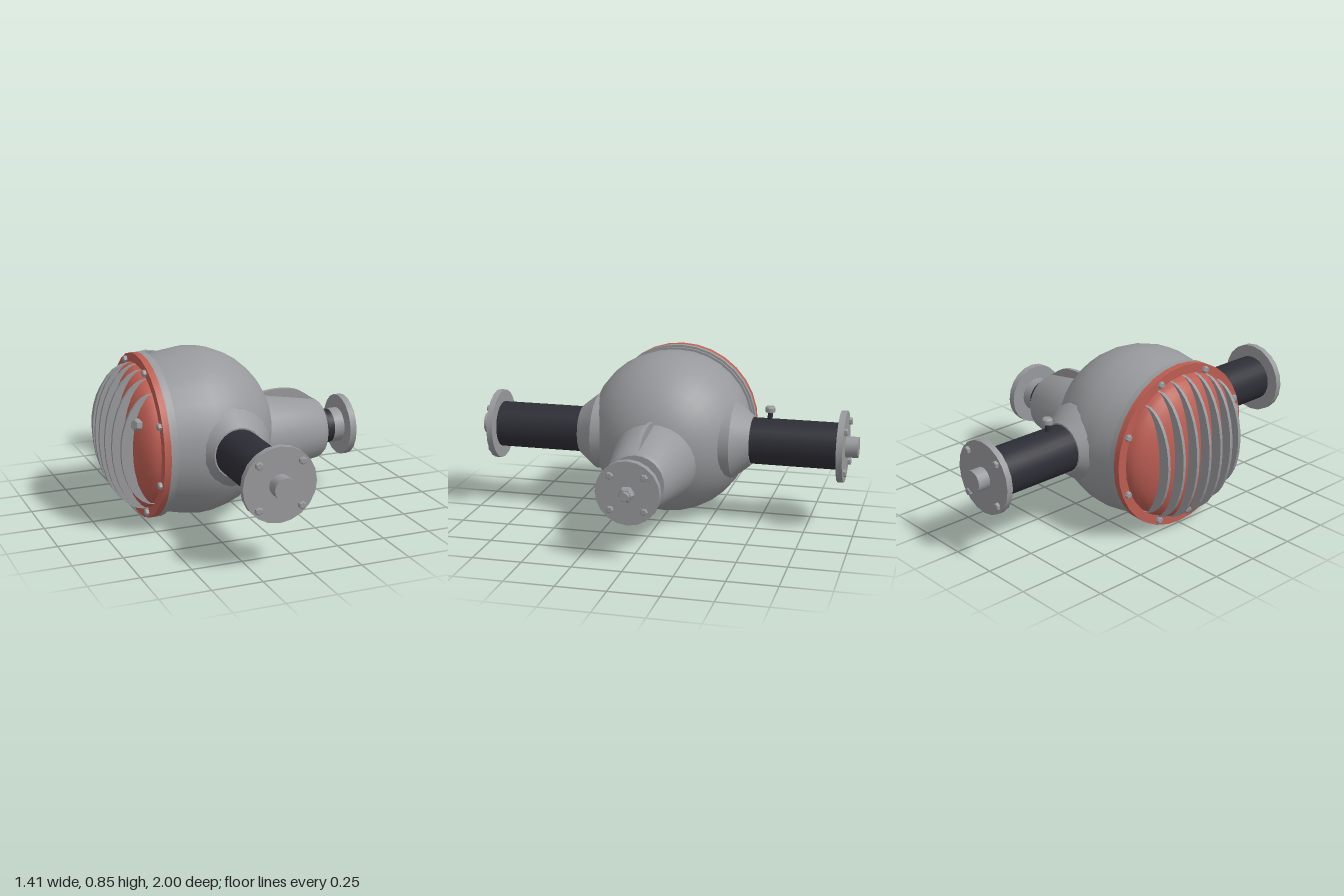
import * as THREE from 'three';
import { toCreasedNormals } from 'three/addons/utils/BufferGeometryUtils.js';

const CY = 0.432;      // height of the axle and cover axis
const NY = 0.358;      // height of the pinion axis
const AX = -0.142;     // x of the axle tubes

const grey = new THREE.MeshStandardMaterial({ color: 0x98999c });
grey.name = 'castMetal';
const red = new THREE.MeshStandardMaterial({ color: 0xbc5d52 });
red.name = 'redCover';
const dark = new THREE.MeshStandardMaterial({ color: 0x2d2d36 });
dark.name = 'darkSteel';

const UP = new THREE.Vector3(0, 1, 0);

function add(parent, name, geometry, material) {
  const mesh = new THREE.Mesh(geometry, material);
  mesh.name = name;
  parent.add(mesh);
  return mesh;
}

// Turned part: profile of [distance along axis, radius]
function turned(parent, name, profile, material, dir, segments = 24) {
  const points = profile.map(([d, r]) => new THREE.Vector2(r, d));
  const geometry = toCreasedNormals(new THREE.LatheGeometry(points, segments), 0.55);
  const mesh = add(parent, name, geometry, material);
  mesh.quaternion.setFromUnitVectors(UP, dir);
  return mesh;
}

// Hexagonal head standing on a surface at pos, pointing along dir
function hexBolt(parent, name, pos, dir, radius, height) {
  const d = dir.clone().normalize();
  const profile = [[-0.01, 0], [-0.01, radius], [height * 0.8, radius], [height, radius * 0.75], [height, 0]];
  turned(parent, name, profile, grey, d, 6).position.copy(pos);
}

const disc = (a, b, r) => [[a, 0], [a, r], [b, r], [b, 0]];

function buildHousing(root) {
  const X = new THREE.Vector3(1, 0, 0);
  const g = new THREE.Group();
  g.name = 'housing';
  g.position.y = CY;
  root.add(g);

  // Round carrier body
  const body = [[-0.44, 0], [-0.44, 0.39], [-0.34, 0.413]];
  for (let i = 0; i <= 10; i++) {
    const a = (i / 10) * Math.PI / 2;
    body.push([-0.235 + 0.427 * Math.sin(a), 0.427 * Math.cos(a)]);
  }
  turned(g, 'carrierBody', body, grey, X, 32);

  // Mating flange and gasket lip
  turned(g, 'bodyFlange', disc(-0.472, -0.442, 0.416), grey, X, 32);
  turned(g, 'bodyFlangeLip', disc(-0.445, -0.43, 0.405), grey, X, 32);

  // Red cover with domed centre
  turned(g, 'coverFlange', disc(-0.505, -0.471, 0.416), red, X, 32);
  const dome = [];
  for (let i = 0; i <= 10; i++) {
    const a = (i / 10) * Math.PI / 2;
    dome.push([-0.5 - 0.148 * Math.cos(a), 0.37 * Math.sin(a)]);
  }
  turned(g, 'coverDome', dome, red, X, 32);

  // Crescent cooling fins
  for (let i = -3; i <= 3; i++) {
    const z = i * 0.08;
    const h = Math.sqrt(0.37 ** 2 - z * z);
    const rise = 0.148 * h / 0.37;
    const arc = (depth, k) => {
      const a = -1 + k / 8;
      return new THREE.Vector2(-0.5 - depth * Math.cos(a * Math.PI / 2), h * Math.sin(a * Math.PI / 2));
    };
    const outline = [];
    for (let k = 0; k <= 16; k++) outline.push(arc(rise + 0.056, k));
    for (let k = 15; k > 0; k--) outline.push(arc(rise - 0.012, k));
    const fin = new THREE.ExtrudeGeometry(new THREE.Shape(outline), { depth: 0.016, bevelEnabled: false });
    add(g, 'coolingFin', fin, grey).position.z = z - 0.008;
  }

  // Cover bolts
  for (let i = 0; i < 8; i++) {
    const a = (i + 0.5) * Math.PI / 4;
    const pos = new THREE.Vector3(-0.505, 0.388 * Math.sin(a), 0.388 * Math.cos(a));
    hexBolt(g, 'coverBolt', pos, new THREE.Vector3(-1, 0, 0), 0.018, 0.018);
  }

  // Fill and drain plugs
  hexBolt(g, 'fillPlug', new THREE.Vector3(-0.58, 0.14, 0.262), new THREE.Vector3(-1, 0.25, 0.5), 0.03, 0.035);
  hexBolt(g, 'drainPlug', new THREE.Vector3(-0.56, -0.315, 0), new THREE.Vector3(-1, -0.8, 0), 0.026, 0.03);
}

function buildPinion(root) {
  const X = new THREE.Vector3(1, 0, 0);
  const g = new THREE.Group();
  g.name = 'pinionNose';
  g.position.y = NY;
  root.add(g);

  turned(g, 'noseCasting',
    [[0, 0], [0, 0.225], [0.08, 0.218], [0.155, 0.213], [0.47, 0.157], [0.49, 0.142], [0.49, 0]], grey, X, 28);
  turned(g, 'oilSeal', disc(0.485, 0.517, 0.105), dark, X, 16);
  turned(g, 'sealSleeve', disc(0.51, 0.557, 0.089), dark, X, 20);
  turned(g, 'yokeHub', disc(0.555, 0.615, 0.09), grey, X, 20);
  turned(g, 'yokeFlange', disc(0.61, 0.645, 0.159), grey, X, 20);
  for (const sy of [-1, 1]) for (const sz of [-1, 1]) {
    hexBolt(g, 'yokeBolt', new THREE.Vector3(0.645, sy * 0.084, sz * 0.084), X, 0.018, 0.016);
  }
  hexBolt(g, 'pinionNut', new THREE.Vector3(0.645, 0, 0), X, 0.038, 0.035);
  turned(g, 'pinionTip', disc(0.64, 0.704, 0.022), grey, X, 12);

  // Stiffening ribs above and below
  const curve = new THREE.SplineCurve([[0.06, 0.2], [0.14, 0.218], [0.22, 0.232], [0.3, 0.232],
    [0.38, 0.213], [0.475, 0.15]].map(p => new THREE.Vector2(...p)));
  const rib = new THREE.Shape([...curve.getPoints(16), new THREE.Vector2(0.06, 0.1)]);
  for (const turn of [0, Math.PI]) {
    const geometry = new THREE.ExtrudeGeometry(rib, { depth: 0.02, bevelEnabled: false });
    geometry.translate(0, 0, -0.01);
    add(g, 'noseRib', geometry, grey).rotation.x = turn;
  }
}

function buildAxle(root, side) {
  const dir = new THREE.Vector3(0, 0, side);
  const g = new THREE.Group();
  g.name = side > 0 ? 'frontAxle' : 'rearAxle';
  g.position.set(AX, CY, 0);
  root.add(g);

  turned(g, 'axleCollar', [[0.2, 0], [0.2, 0.2], [0.365, 0.2], [0.41, 0.165], [0.455, 0.128], [0.455, 0]], grey, dir, 20);
  turned(g, 'axleTube', disc(0.4, 0.91, 0.12), dark, dir, 28);
  turned(g, 'axleFlange', disc(0.904, 0.936, 0.183), grey, dir, 20);
  turned(g, 'axleShaft', disc(0.93, 1, 0.054), grey, dir, 16);
  for (const sx of [-1, 1]) for (const sy of [-1, 1]) {
    hexBolt(g, 'axleBolt', new THREE.Vector3(sx * 0.107, sy * 0.107, side * 0.936), dir, 0.019, 0.017);
  }
}

function buildBreather(root) {
  const g = new THREE.Group();
  g.name = 'breather';
  g.position.set(AX, CY, -0.543);
  root.add(g);
  turned(g, 'breatherStem', disc(0.1, 0.165, 0.013), dark, UP, 10);
  turned(g, 'breatherCap', [[0.158, 0], [0.158, 0.026], [0.18, 0.026], [0.187, 0.02], [0.187, 0]], grey, UP, 12);
}

export function createModel() {
  const root = new THREE.Group();
  root.name = 'axleDifferential';
  buildHousing(root);
  buildPinion(root);
  buildAxle(root, 1);
  buildAxle(root, -1);
  buildBreather(root);
  return root;
}
